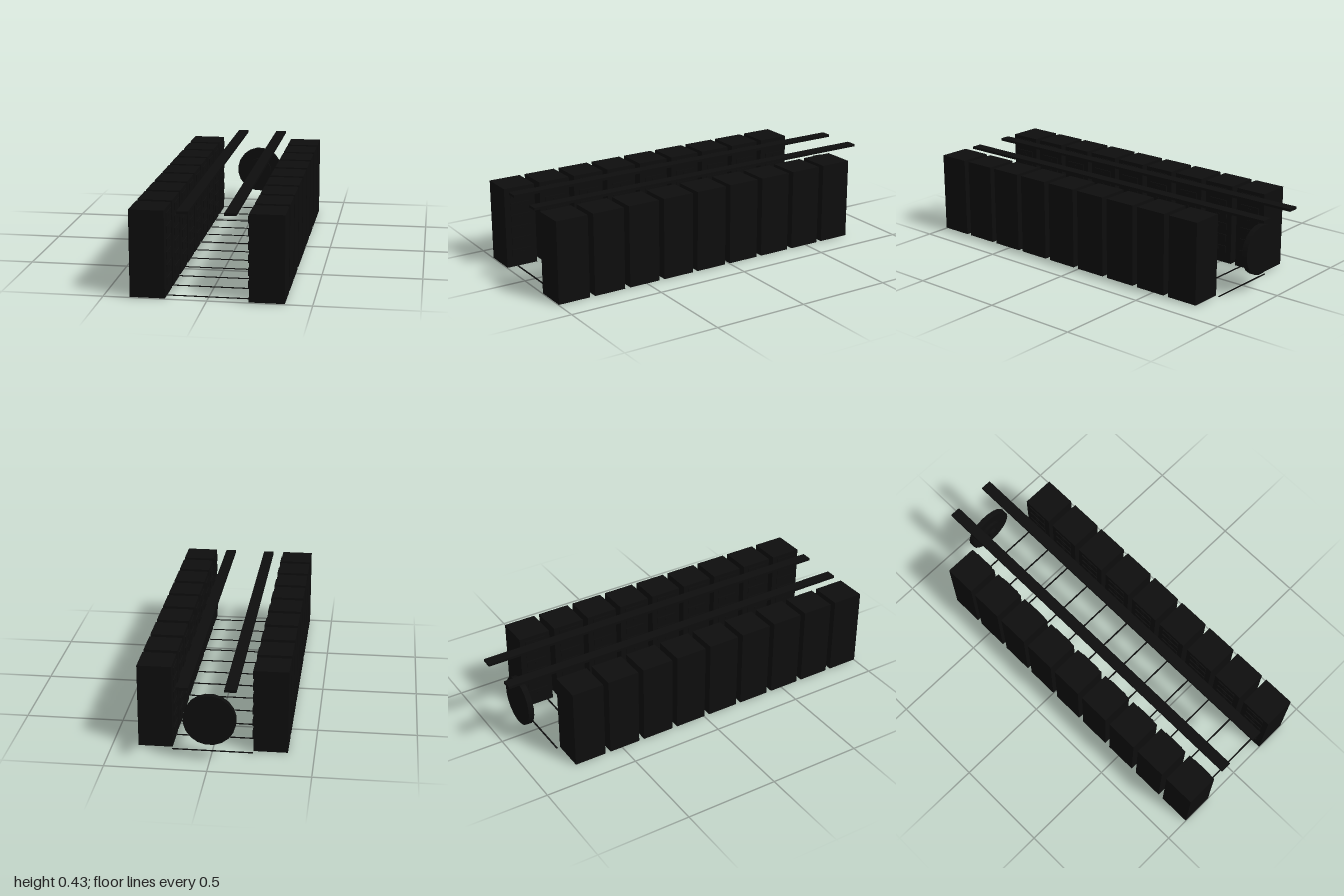
import * as THREE from 'three';

export function createModel() {
  const model = new THREE.Group();
  const black = new THREE.MeshStandardMaterial({ color: 0x0d0d0d });
  black.name = 'nearBlack';

  const add = (name, geometry, x, y, z) => {
    const mesh = new THREE.Mesh(geometry, black);
    mesh.name = name;
    mesh.position.set(x, y, z);
    model.add(mesh);
    return mesh;
  };

  // Shared shapes
  const cabinet = new THREE.BoxGeometry(0.17, 0.428, 0.17);
  const panel = new THREE.BoxGeometry(0.005, 0.036, 0.11);
  const handle = new THREE.BoxGeometry(0.006, 0.01, 0.02);
  const rail = new THREE.BoxGeometry(0.057, 0.013, 2);
  const strip = new THREE.BoxGeometry(0.4, 0.003, 0.008);

  for (const side of [-1, 1]) {
    // Two rows of nine cabinets, with six panels on each aisle face
    for (let i = 0; i < 9; i++) {
      const z = 0.915 - 0.2 * i;
      add('cabinet', cabinet, side * 0.285, 0.217, z);
      for (let j = 0; j < 6; j++) {
        const y = 0.079 + 0.0632 * j;
        add('panel', panel, side * 0.195, y, z);
        add('panelHandle', handle, side * 0.193, y, z);
      }
    }
    // Overhead rails
    add('overheadRail', rail, side * 0.1135, 0.4245, 0);
  }

  // Thin strips across the aisle floor
  for (let i = 0; i < 12; i++) {
    add('floorStrip', strip, 0, 0.0015, -0.787 + 0.157 * i);
  }

  // Stepped round hatch at the back: radius, back z, front z
  const steps = [
    ['hatchDisc', 0.129, -0.898, -0.868],
    ['hatchRing', 0.07, -0.868, -0.853],
    ['hatchHub', 0.028, -0.853, -0.836],
  ];
  for (const [name, r, z0, z1] of steps) {
    const disc = new THREE.CylinderGeometry(r, r, z1 - z0, 20);
    disc.rotateY(Math.PI / 20).rotateX(Math.PI / 2);
    add(name, disc, 0, 0.218, (z0 + z1) / 2);
  }
  return model;
}
